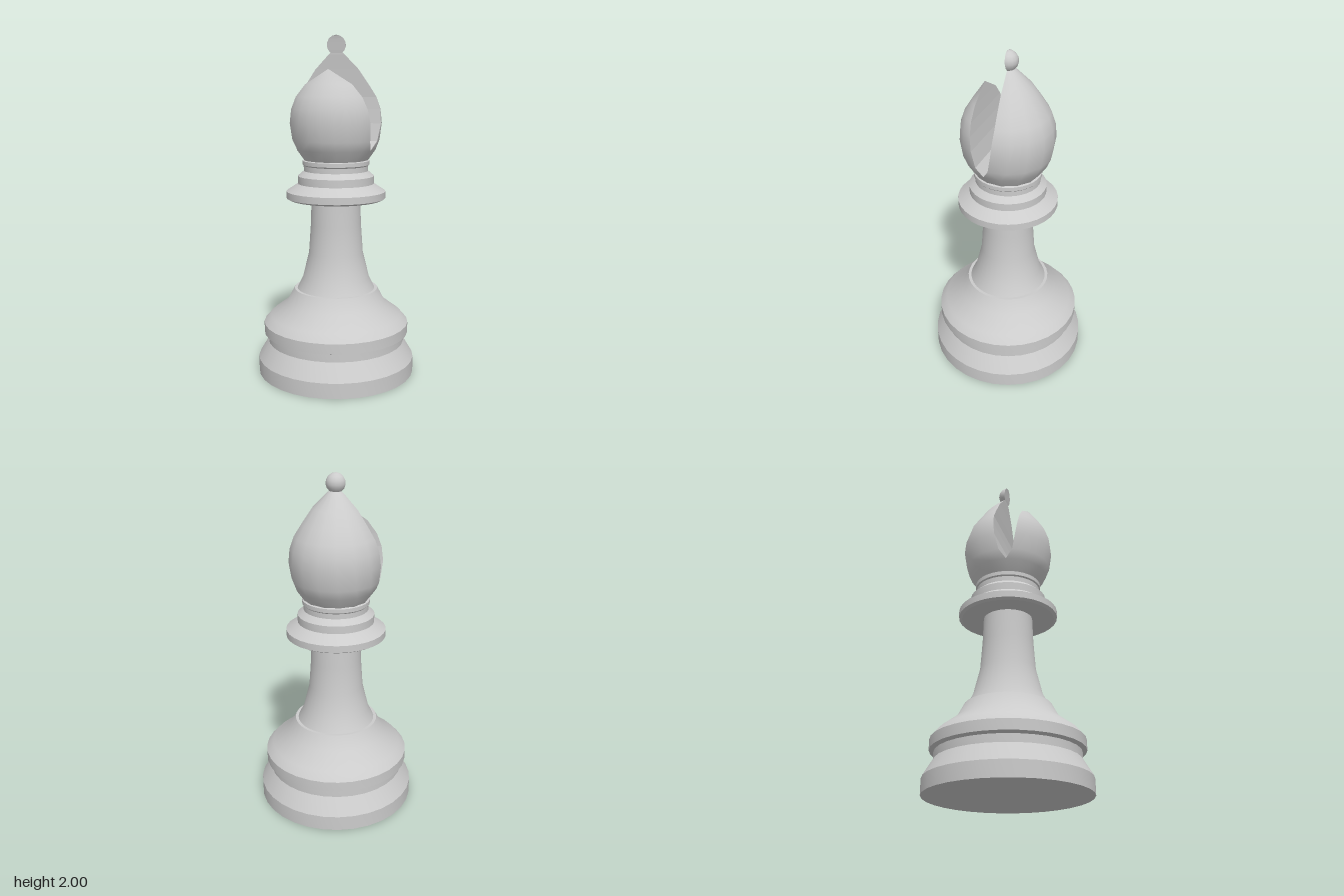
import * as THREE from 'three';
import { toCreasedNormals } from 'three/addons/utils/BufferGeometryUtils.js';

const material = new THREE.MeshStandardMaterial({ color: 0xcccccc });

// Turned part from [radius, height] pairs, with crisp edges at sharp steps
function turned(name, profile) {
  const points = profile.map(([r, y]) => new THREE.Vector2(r, y));
  const mesh = new THREE.Mesh(toCreasedNormals(new THREE.LatheGeometry(points, 32), 0.5), material);
  mesh.name = name;
  return mesh;
}

// Surface over rows of { y, r, cut }: a round body trimmed at z = cut.
// side is +1 for the part in front of the cut, -1 for the part behind it.
// With wall = true, the flat cut face is made instead of the round skin.
function trimmed(name, rows, side, steps, wall = false) {
  const pos = [], nor = [], index = [];
  const n = wall ? 1 : steps;
  rows.forEach(({ y, r, cut }, i) => {
    const below = rows[Math.max(i - 1, 0)], above = rows[Math.min(i + 1, rows.length - 1)];
    const dy = above.y - below.y, dr = above.r - below.r;
    const half = Math.acos(THREE.MathUtils.clamp(side * cut / r, -1, 1));
    for (let j = 0; j <= n; j++) {
      const a = half * (2 * j / n - 1);
      const normal = new THREE.Vector3(Math.sin(a) * dy, -dr, side * Math.cos(a) * dy).normalize();
      pos.push(r * Math.sin(a), y, side * r * Math.cos(a));
      nor.push(normal.x, normal.y, normal.z);
    }
  });
  const flip = (side < 0) !== wall;
  for (let i = 0; i < rows.length - 1; i++) {
    for (let j = 0; j < n; j++) {
      const a = i * (n + 1) + j, b = a + 1, c = b + n + 1, d = c - 1;
      if (flip) index.push(a, c, b, a, d, c);
      else index.push(a, b, c, a, c, d);
    }
  }
  let geometry = new THREE.BufferGeometry();
  geometry.setAttribute('position', new THREE.Float32BufferAttribute(pos, 3));
  geometry.setAttribute('normal', new THREE.Float32BufferAttribute(nor, 3));
  geometry.setIndex(index);
  if (wall) {
    geometry = geometry.toNonIndexed();
    geometry.computeVertexNormals();
  }
  const mesh = new THREE.Mesh(geometry, material);
  mesh.name = name;
  return mesh;
}

export function createModel() {
  const model = new THREE.Group();
  model.name = 'chessBishop';

  // Foot, stem and collar
  model.add(
    turned('base', [
      [0, 0], [0.47, 0], [0.47, 0.09], [0.41, 0.19], [0.41, 0.235], [0.435, 0.245],
      [0.435, 0.305], [0.395, 0.35], [0.295, 0.425], [0.25, 0.51], [0.2, 0.51],
    ]),
    turned('stem', [[0.235, 0.505], [0.2, 0.575], [0.162, 0.73], [0.15, 0.9], [0.145, 1.06]]),
    turned('collar', [
      [0.13, 1.055], [0.275, 1.05], [0.293, 1.06], [0.293, 1.1], [0.225, 1.145], [0.225, 1.19],
      [0.19, 1.22], [0.19, 1.25], [0.197, 1.257], [0.197, 1.28], [0.185, 1.285], [0, 1.285],
    ]),
  );

  // Head levels: height, radius, rear slot wall z, front slot wall z
  const levels = [
    [1.275, 0.183, 0.053, 0.053], [1.345, 0.232, 0.053, 0.053], [1.4, 0.255, 0.015, 0.095],
    [1.5, 0.27, -0.007, 0.115], [1.58, 0.262, -0.015, 0.125], [1.65, 0.238, -0.02, 0.13],
    [1.72, 0.193, -0.017, 0.132], [1.805, 0.134, -0.014, 0.134],
    [1.89, 0.05, -0.01, 0], [1.902, 0.035, -0.01, 0],
  ];
  const rear = levels.map(([y, r, cut]) => ({ y, r, cut }));
  const front = levels.slice(0, 8).map(([y, r, , cut]) => ({ y, r, cut }));
  const head = new THREE.Group();
  head.name = 'head';
  head.add(
    trimmed('headRear', rear, -1, 8),
    trimmed('slotRearWall', rear.slice(1), -1, 1, true),
    trimmed('headFront', front, 1, 8),
    trimmed('slotFrontWall', front.slice(1), 1, 1, true),
  );

  // Half ball on the tip, cut by the slot
  const ball = [];
  for (let i = 0; i <= 6; i++) {
    const a = THREE.MathUtils.lerp(-0.9, Math.PI / 2 - 0.05, i / 6);
    ball.push({ y: 1.943 + 0.057 * Math.sin(a), r: 0.058 * Math.cos(a), cut: -0.01 + 0.013 * i / 6 });
  }
  head.add(
    trimmed('finial', ball, -1, 8),
    trimmed('finialCut', ball, -1, 1, true),
  );
  model.add(head);
  return model;
}
